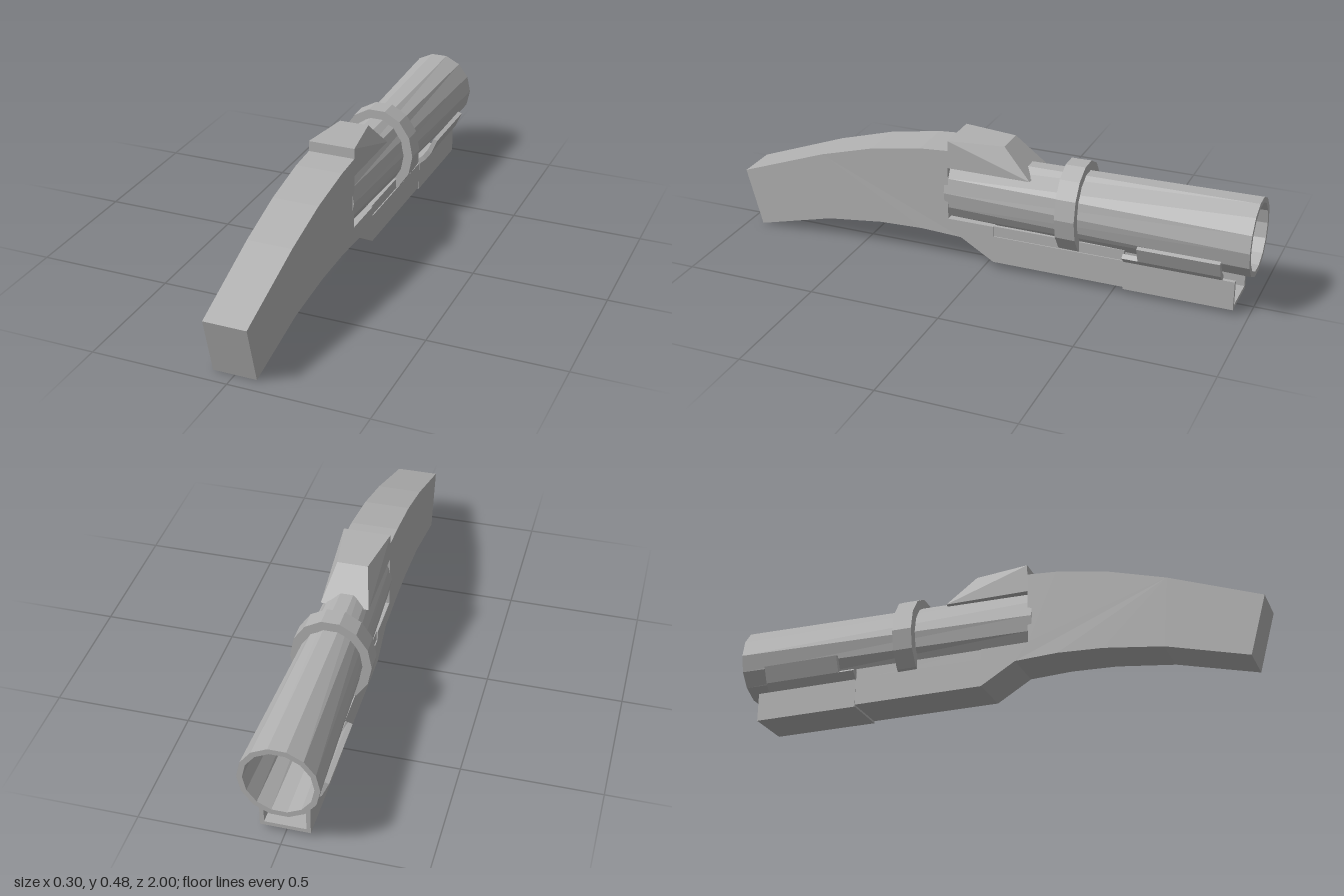
import * as THREE from 'three';

const SIDES = 14, AXIS_Y = 0.278;

export function createModel() {
  const group = new THREE.Group();
  const gray = new THREE.MeshStandardMaterial({ color: 0xb0b0b0, flatShading: true });
  const add = (name, geometry) => {
    const mesh = new THREE.Mesh(geometry, gray);
    mesh.name = name;
    geometry.computeVertexNormals();
    group.add(mesh);
    return mesh;
  };
  const shapeOf = (pts) => new THREE.Shape(pts.map(([a, b]) => new THREE.Vector2(a, b)));

  // Side profile of (z, y) points, given a half width that depends on z and y
  const slab = (name, pts, halfWidth) => {
    const g = new THREE.ExtrudeGeometry(shapeOf(pts), { depth: 2, bevelEnabled: false });
    g.translate(0, 0, -1).rotateY(-Math.PI / 2);
    const p = g.attributes.position;
    for (let i = 0; i < p.count; i++) p.setX(i, p.getX(i) * halfWidth(p.getZ(i), p.getY(i)));
    return add(name, g);
  };

  // Cross-section of (x, y) points drawn along z, mirrored to both sides if asked
  const rail = (name, pts, zBack, zFront, mirrored = false) => {
    for (const side of mirrored ? [1, -1] : [1]) {
      const shape = shapeOf(pts.map(([x, y]) => [x * side, y]));
      const g = new THREE.ExtrudeGeometry(shape, { depth: zFront - zBack, bevelEnabled: false });
      add(name, g.translate(0, 0, zBack));
    }
  };

  // Hollow oval tube from z0 back to z1; k0 and k1 are the bore ratios
  const tube = (name, z0, rx0, ry0, k0, z1, rx1, ry1, k1) => {
    const profile = [[k0, 0], [1, 0], [1, 1], [k1, 1], [k0, 0]].map(([r, t]) => new THREE.Vector2(r, t));
    const g = new THREE.LatheGeometry(profile, SIDES, Math.PI / SIDES).rotateX(-Math.PI / 2);
    const p = g.attributes.position;
    for (let i = 0; i < p.count; i++) {
      const t = -p.getZ(i);
      p.setXYZ(i,
        p.getX(i) * THREE.MathUtils.lerp(rx0, rx1, t),
        AXIS_Y + p.getY(i) * THREE.MathUtils.lerp(ry0, ry1, t),
        THREE.MathUtils.lerp(z0, z1, t));
    }
    add(name, g);
  };

  // Curved grip that runs into the body below the barrel
  slab('grip', [
    [1, 0.22], [0.94, 0.002], [0.64, 0.08], [0.42, 0.108], [0.25, 0.115], [0.09, 0.108],
    [-0.04, 0.03], [-0.04, 0.175], [0.14, 0.175], [0.14, 0.448], [0.25, 0.44], [0.45, 0.405], [0.66, 0.345],
  ], (z) => THREE.MathUtils.clamp(0.0895 - 0.0125 * (z - 0.14), 0.078, 0.088));

  // Hood over the rear of the barrel, its top narrowing toward the muzzle
  slab('hood', [[0.14, 0.38], [-0.18, 0.38], [-0.07, 0.487], [0.14, 0.487]],
    (z, y) => (y > 0.4 && z < 0 ? 0.056 : 0.088));

  // Barrel and its collar
  tube('barrel', 0.155, 0.093, 0.133, 0.95, -1, 0.14, 0.145, 0.86);
  tube('barrelCollar', -0.295, 0.147, 0.173, 0.74, -0.37, 0.148, 0.174, 0.74);

  // Open channel under the barrel, slightly wider at the back
  const channel = (w, bottom, top, t) => [
    [-w, bottom], [w, bottom], [w, top], [w - t, top], [w - t, bottom + t],
    [t - w, bottom + t], [t - w, top], [-w, top],
  ];
  rail('frontChannel', channel(0.087, 0.03, 0.135, 0.014), -0.54, -0.04);
  rail('rearChannel', channel(0.088, 0.022, 0.132, 0.015), -0.945, -0.54);

  // Low rails beside the barrel
  rail('sideRail', [[0.07, 0.13], [0.083, 0.13], [0.083, 0.175], [0.07, 0.175]], -0.54, -0.04, true);

  // Bent cradle plates hugging the muzzle end
  rail('lowerCradle', [[0.073, 0.128], [0.088, 0.132], [0.115, 0.158], [0.1, 0.17], [0.078, 0.15]],
    -0.9, -0.54, true);
  rail('upperCradle', [[0.1, 0.17], [0.115, 0.158], [0.14, 0.217], [0.124, 0.222]], -0.9, -0.6, true);

  return group;
}
